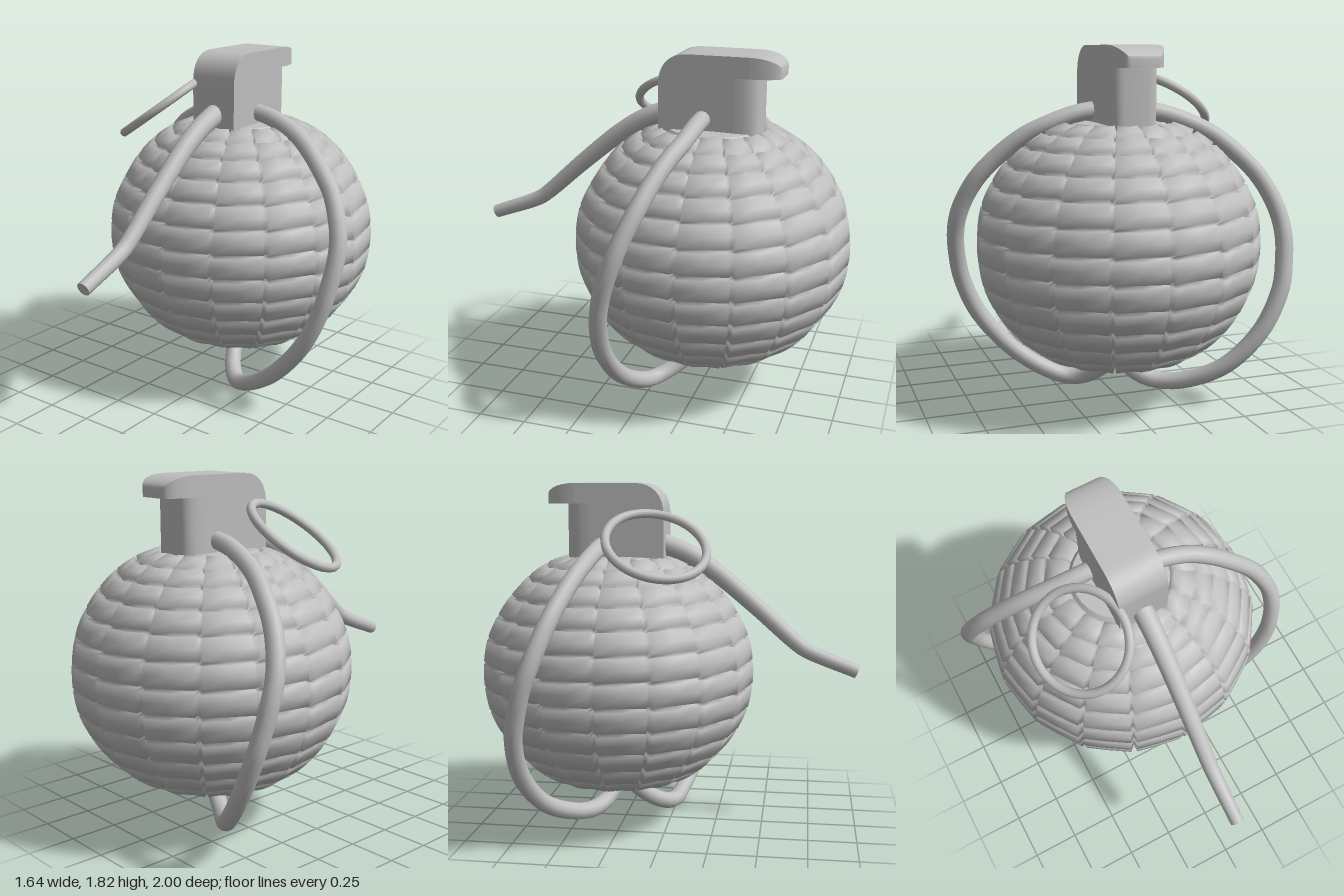
import * as THREE from 'three';
import { toCreasedNormals } from 'three/addons/utils/BufferGeometryUtils.js';
import { ConvexGeometry } from 'three/addons/geometries/ConvexGeometry.js';

const grey = new THREE.MeshStandardMaterial({ color: 0xbfbfbf });
grey.name = 'grey metal';
const BODY_Z = -0.28, BODY_Y = 0.835;

function add(parent, name, geometry, x = 0, y = 0, z = 0) {
  const mesh = new THREE.Mesh(geometry, grey);
  mesh.name = name;
  mesh.position.set(x, y, z);
  parent.add(mesh);
  return mesh;
}

// Globe of raised plates: every row and column starts with a sunken groove
function plateGlobe() {
  const COLS = 16, OUT = 0.722, GROOVE = 0.684;
  const across = [[0, GROOVE], [0.06, OUT], [0.5, OUT - 0.008], [0.94, OUT]];
  const up = [[0, GROOVE], [0.09, OUT], [0.5, OUT], [0.91, OUT]];
  // Row edges as latitude and scale; the globe flattens towards its ends
  const edges = [[-61.5, 0.925], [-56, 0.95], [-46.3, 0.967], [-36, 0.978], [-25.8, 0.988], [-15.4, 1],
    [-5.1, 1], [5.1, 1], [15.4, 1], [25.8, 0.986], [36, 0.976], [46.3, 0.967], [56, 0.955], [67, 0.93]];
  const cols = [], rows = [];
  for (let c = 0; c < COLS; c++)
    for (const [t, r] of across) cols.push([(c + t) / COLS * Math.PI * 2, r]);
  edges.forEach(([lat, scale], k) => {
    const [nextLat, nextScale] = edges[k + 1] || [lat, scale];
    for (const [t, r] of k < edges.length - 1 ? up : [up[0]])
      rows.push([THREE.MathUtils.degToRad(lat + (nextLat - lat) * t), r, scale + (nextScale - scale) * t]);
  });
  const pos = [], index = [], n = cols.length;
  for (const [lat, rr, scale] of rows)
    for (const [a, rc] of cols) {
      const r = Math.min(rr, rc) * scale, h = r * Math.cos(lat);
      pos.push(h * Math.sin(a), r * Math.sin(lat), h * Math.cos(a));
    }
  for (let i = 0; i < rows.length - 1; i++)
    for (let j = 0; j < n; j++) {
      const a = i * n + j, b = i * n + (j + 1) % n;
      index.push(a, b, b + n, a, b + n, a + n);
    }
  const g = new THREE.BufferGeometry();
  g.setAttribute('position', new THREE.Float32BufferAttribute(pos, 3));
  g.setIndex(index);
  g.computeVertexNormals();
  return g;
}

function lathe(points, segments) {
  const g = new THREE.LatheGeometry(points.map(p => new THREE.Vector2(...p)), segments);
  return toCreasedNormals(g, 0.35);
}

function curve(points, closed = false) {
  return new THREE.CatmullRomCurve3(points.map(p => new THREE.Vector3(...p)), closed);
}

// Tube whose radius runs from r0 to r1
function taperedTube(path, segments, r0, r1, sides) {
  const g = new THREE.TubeGeometry(path, segments, 1, sides);
  const p = g.attributes.position, v = new THREE.Vector3();
  for (let i = 0; i < p.count; i++) {
    const t = Math.floor(i / (sides + 1)) / segments;
    const c = path.getPointAt(t);
    v.fromBufferAttribute(p, i).sub(c).multiplyScalar(r0 + (r1 - r0) * t).add(c);
    p.setXYZ(i, v.x, v.y, v.z);
  }
  return g;
}

function buildHead(root) {
  const head = new THREE.Group();
  head.name = 'head';
  root.add(head);

  // Main block, drawn as a side profile (forward, up) and extruded across
  const side = new THREE.Shape();
  side.moveTo(-0.41, 1.38);
  side.lineTo(-0.02, 1.38);
  side.lineTo(-0.02, 1.67);
  side.bezierCurveTo(-0.02, 1.76, -0.07, 1.825, -0.17, 1.825);
  side.lineTo(-0.48, 1.825);
  side.lineTo(-0.48, 1.72);
  side.lineTo(-0.41, 1.72);
  const block = new THREE.ExtrudeGeometry(side, { depth: 0.26, bevelEnabled: false, curveSegments: 8 });
  block.rotateY(-Math.PI / 2).translate(0.13, 0, 0);
  add(head, 'headBlock', toCreasedNormals(block, 0.6));

  // Rear post with rounded corners, drawn in plan
  const plan = new THREE.Shape();
  plan.moveTo(-0.13, 0.41);
  plan.lineTo(0.13, 0.41);
  plan.quadraticCurveTo(0.13, 0.53, 0.06, 0.53);
  plan.lineTo(-0.06, 0.53);
  plan.quadraticCurveTo(-0.13, 0.53, -0.13, 0.41);
  const post = new THREE.ExtrudeGeometry(plan, { depth: 0.35, bevelEnabled: false, curveSegments: 6 });
  post.rotateX(-Math.PI / 2).translate(0, 1.38, 0);
  add(head, 'headPost', toCreasedNormals(post, 0.6));

  // Lip hanging over the back, narrowing and dropping as it goes
  const lip = [];
  for (let i = 0; i <= 7; i++) {
    const a = i / 7 * Math.PI / 2, z = -0.48 - 0.155 * Math.sin(a);
    const w = 0.07 + 0.06 * Math.cos(a), top = 1.76 + 0.065 * Math.cos(a);
    for (const x of [-w, w])
      lip.push(new THREE.Vector3(x, top, z), new THREE.Vector3(x, 1.72, z));
  }
  add(head, 'headLip', toCreasedNormals(new ConvexGeometry(lip), 0.6));
}

export function createModel() {
  const root = new THREE.Group();
  root.name = 'model';

  // Body
  add(root, 'platedBody', plateGlobe(), 0, BODY_Y, BODY_Z);
  add(root, 'neck', lathe([[0.26, 1.415], [0.235, 1.445], [0, 1.455]], 32), 0, 0, BODY_Z);
  add(root, 'base', lathe([[0, 0.22], [0.14, 0.22], [0.2, 0.262], [0.31, 0.268]], 32), 0, 0, BODY_Z);

  buildHead(root);

  // Lever running forward and down from the head
  const leverPath = curve([[0, 1.52, -0.06], [0, 1.46, 0.09], [0, 1.38, 0.22], [0, 1.19, 0.45],
    [0, 1.01, 0.65], [0, 0.965, 0.71], [0, 0.853, 0.985]]);
  add(root, 'lever', taperedTube(leverPath, 32, 0.055, 0.036, 14));
  const tip = add(root, 'leverTip', new THREE.CircleGeometry(0.036, 14), 0, 0.853, 0.985);
  tip.lookAt(tip.position.clone().add(leverPath.getTangentAt(1)));

  // Pull ring, tilted off the right side of the head
  const ring = [];
  for (let i = 0; i < 16; i++) {
    const c = Math.cos(i * Math.PI / 8), s = Math.sin(i * Math.PI / 8);
    ring.push([-0.34 + 0.213 * c + 0.033 * s, 1.525 + 0.138 * c - 0.053 * s, -0.025 + 0.245 * s]);
  }
  add(root, 'pullRing', new THREE.TubeGeometry(curve(ring, true), 48, 0.023, 10, true));

  // Two cables looping from the head to the base
  const leftCable = [[0.09, 1.51, -0.25], [0.21, 1.49, -0.24], [0.35, 1.44, -0.22], [0.465, 1.38, -0.18],
    [0.585, 1.28, -0.13], [0.675, 1.18, -0.09], [0.735, 1.07, -0.045], [0.767, 0.97, -0.01],
    [0.775, 0.87, 0.025], [0.763, 0.75, 0.06], [0.735, 0.62, 0.085], [0.645, 0.42, 0.1], [0.46, 0.205, 0.08],
    [0.28, 0.085, 0.03], [0.17, 0.05, -0.01], [0.08, 0.09, -0.1], [0.02, 0.19, -0.21], [0, 0.28, -0.26]];
  const rightCable = [[-0.09, 1.51, -0.34], [-0.21, 1.49, -0.35], [-0.35, 1.44, -0.375], [-0.465, 1.38, -0.405],
    [-0.585, 1.28, -0.45], [-0.675, 1.18, -0.49], [-0.735, 1.07, -0.53], [-0.767, 0.97, -0.565],
    [-0.775, 0.87, -0.6], [-0.763, 0.75, -0.63], [-0.735, 0.62, -0.655], [-0.635, 0.41, -0.65],
    [-0.47, 0.22, -0.58], [-0.3, 0.125, -0.46], [-0.19, 0.11, -0.38], [-0.1, 0.14, -0.33],
    [-0.03, 0.21, -0.295], [0, 0.28, -0.28]];
  add(root, 'leftCable', new THREE.TubeGeometry(curve(leftCable), 60, 0.045, 12));
  add(root, 'rightCable', new THREE.TubeGeometry(curve(rightCable), 60, 0.045, 12));

  return root;
}
